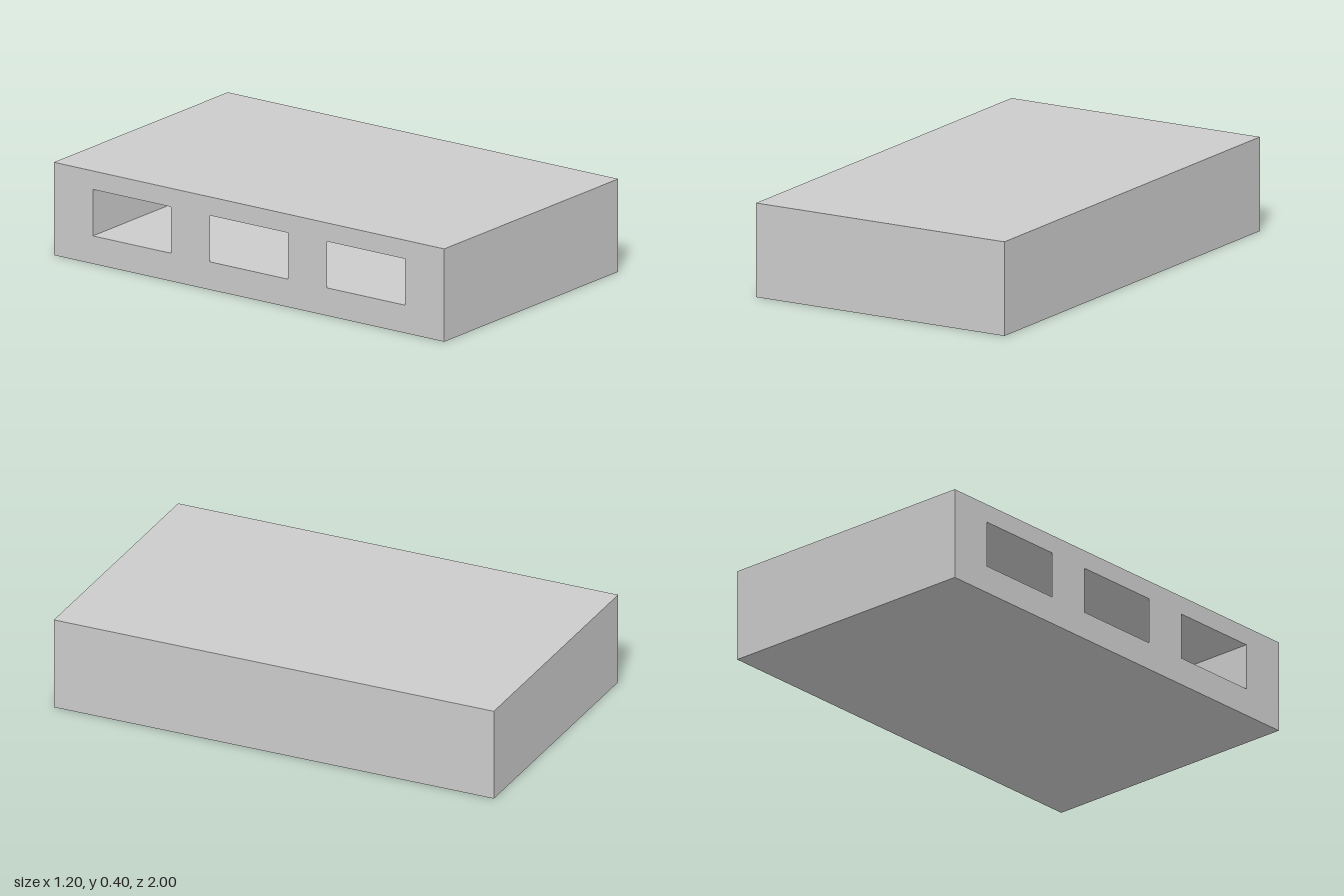
import * as THREE from 'three';

const W = 1.2, H = 0.4, L = 2;
const LOW = 0.12, HIGH = 0.32; // cavity floor and ceiling

// Box without its -x face; inward turns it into the lining of a cavity
function openBox(w, h, d, inward) {
  const geometry = new THREE.BoxGeometry(w, h, d);
  const index = Array.from(geometry.index.array);
  index.splice(6, 6);
  if (inward) {
    index.reverse();
    const normal = geometry.attributes.normal;
    for (let i = 0; i < normal.array.length; i++) normal.array[i] *= -1;
  }
  geometry.setIndex(index);
  geometry.clearGroups();
  return geometry;
}

// Thin panel with three rectangular windows
function windowPanel() {
  const rect = (target, x0, y0, x1, y1) => {
    target.moveTo(x0, y0).lineTo(x1, y0).lineTo(x1, y1).lineTo(x0, y1).closePath();
    return target;
  };
  const shape = rect(new THREE.Shape(), -L / 2, 0, L / 2, H);
  for (const z of [-0.6, 0, 0.6]) {
    shape.holes.push(rect(new THREE.Path(), z - 0.2, LOW, z + 0.2, HIGH));
  }
  return new THREE.ShapeGeometry(shape).rotateY(-Math.PI / 2);
}

export function createModel() {
  const group = new THREE.Group();
  const material = new THREE.MeshStandardMaterial({ color: 0xcccccc, side: THREE.DoubleSide });
  const add = (name, geometry, x, y) => {
    const mesh = new THREE.Mesh(geometry, material);
    mesh.name = name;
    mesh.position.set(x, y, 0);
    group.add(mesh);
  };

  add('outerCase', openBox(W, H, L, false), 0, H / 2);
  add('windowPanel', windowPanel(), -W / 2, 0);
  // One long chamber behind all three windows
  add('innerChamber', openBox(1, HIGH - LOW, 1.6, true), -0.1, (LOW + HIGH) / 2);
  return group;
}
